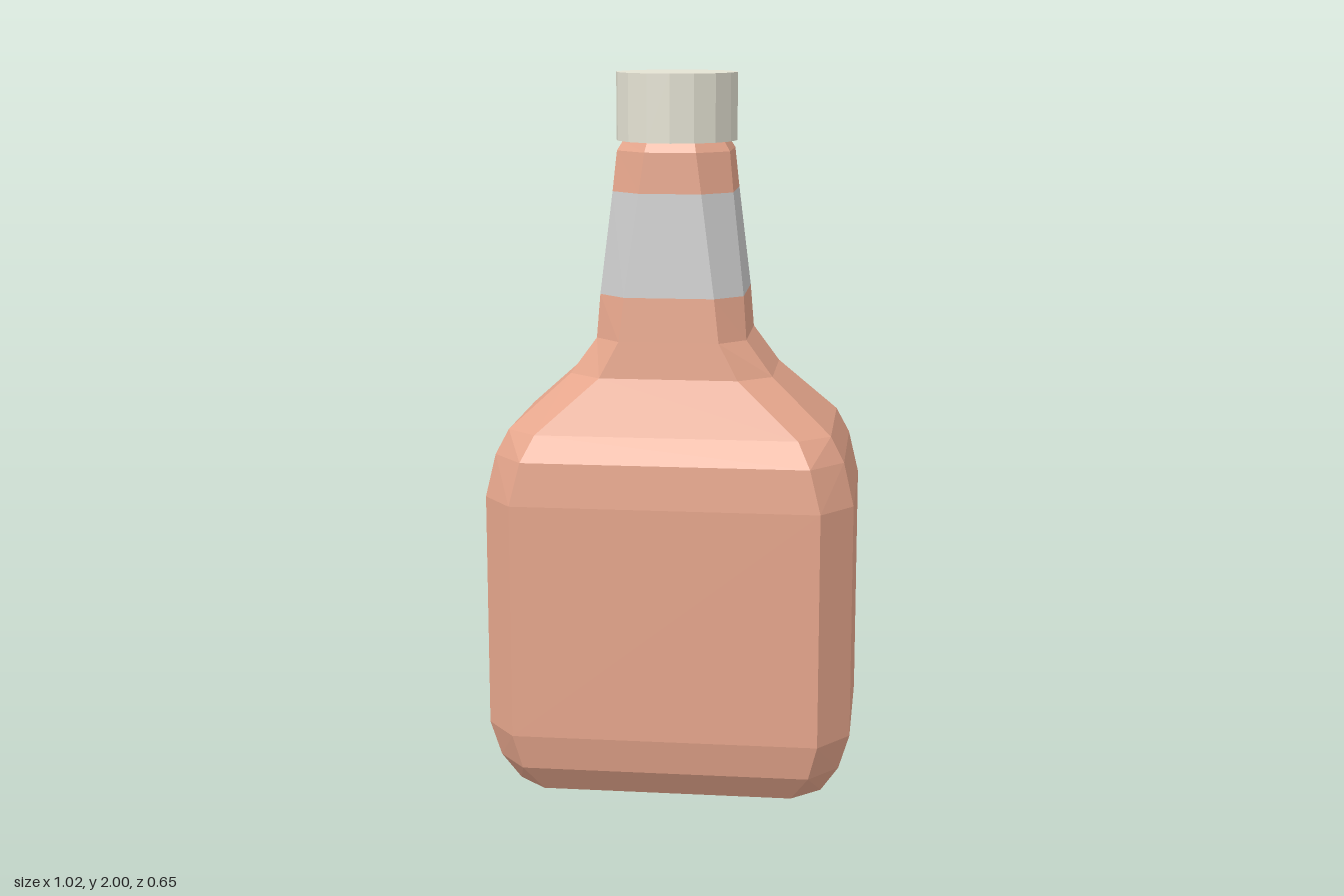
import * as THREE from 'three';
import { ConvexGeometry } from 'three/addons/geometries/ConvexGeometry.js';

const paint = (color) => new THREE.MeshStandardMaterial({ color, flatShading: true });

// Chamfered rectangle: half width X, half depth Z, half lengths of the flat sides fx and fz
function ring([y, X, Z, fx, fz]) {
  return [[X, fz], [fx, Z], [-fx, Z], [-X, fz], [-X, -fz], [-fx, -Z], [fx, -Z], [X, -fz]]
    .map(([x, z]) => new THREE.Vector3(x, y, z));
}

// Skin between successive rings, from bottom to top
function loft(sections) {
  const rings = sections.map(ring);
  const pts = [];
  for (let i = 0; i < rings.length - 1; i++) {
    for (let j = 0; j < 8; j++) {
      const k = (j + 1) % 8;
      const a = rings[i][j], b = rings[i][k], c = rings[i + 1][k], d = rings[i + 1][j];
      pts.push(a, d, c, a, c, b);
    }
  }
  const g = new THREE.BufferGeometry().setFromPoints(pts);
  g.computeVertexNormals();
  return g;
}

function roundedRect(x0, y0, x1, y1, r) {
  const s = new THREE.Shape();
  s.absarc(x1 - r, y1 - r, r, 0, Math.PI / 2);
  s.absarc(x0 + r, y1 - r, r, Math.PI / 2, Math.PI);
  s.absarc(x0 + r, y0 + r, r, Math.PI, Math.PI * 1.5);
  s.absarc(x1 - r, y0 + r, r, Math.PI * 1.5, Math.PI * 2);
  s.closePath();
  return s;
}

export function createModel() {
  const model = new THREE.Group();
  model.name = 'bottle';
  const glass = paint(0xe6a68c), cream = paint(0xe4e2d3), grey = paint(0xbebebe);
  const add = (name, geometry, material) => {
    const mesh = new THREE.Mesh(geometry, material);
    mesh.name = name;
    model.add(mesh);
    return mesh;
  };

  // Sections: height, half width, half depth, flat half width, flat half depth
  const base = [
    [0, 0.43, 0.25, 0.35, 0.175],
    [0.08, 0.48, 0.305, 0.4, 0.205],
    [0.18, 0.51, 0.325, 0.425, 0.215],
    [0.84, 0.51, 0.325, 0.425, 0.215],
    [0.96, 0.482, 0.313, 0.395, 0.207],
    [1.03, 0.445, 0.275, 0.36, 0.2],
  ];
  const bandLow = [1.4, 0.198, 0.192, 0.123, 0.122];
  const bandHigh = [1.68, 0.166, 0.166, 0.085, 0.096];

  // Body: convex hull whose four corners around the back panel are cut off
  const rings = base.map(ring);
  const points = [];
  rings.forEach((r, i) => r.forEach((p, j) => {
    const isPanelCorner = (i === 2 || i === 3) && (j === 5 || j === 6);
    if (!isPanelCorner) { points.push(p); return; }
    const out = i === 2 ? rings[1][j] : rings[4][j];
    const inner = i === 2 ? rings[3][j] : rings[2][j];
    const side = r[j === 5 ? 4 : 7], across = r[j === 5 ? 6 : 5];
    for (const [q, t] of [[out, 0.28], [inner, 0.06], [side, 0.36], [across, 0.05]]) {
      points.push(p.clone().lerp(q, t));
    }
  }));
  add('body', new ConvexGeometry(points), glass);

  // Shoulder and neck
  add('shoulder', loft([
    base[5],
    [1.18, 0.28, 0.213, 0.19, 0.138],
    [1.28, 0.207, 0.203, 0.137, 0.132],
    bandLow,
  ]), glass);
  add('neckBand', loft([bandLow, bandHigh]), grey);
  add('neckTop', loft([
    bandHigh,
    [1.79, 0.155, 0.16, 0.07, 0.085],
    [1.815, 0.14, 0.145, 0.065, 0.078],
    [1.83, 0.14, 0.145, 0.065, 0.078],
  ]), glass);

  // Cap
  const cap = add('cap', new THREE.CylinderGeometry(0.168, 0.168, 0.185, 16), cream);
  cap.position.y = 1.9075;

  // Back label
  const label = add('backLabel', new THREE.ExtrudeGeometry(
    roundedRect(-0.425, 0.18, 0.425, 0.84, 0.05),
    { depth: 0.004, bevelEnabled: false, curveSegments: 5 }), cream);
  label.position.z = -0.328;

  return model;
}
